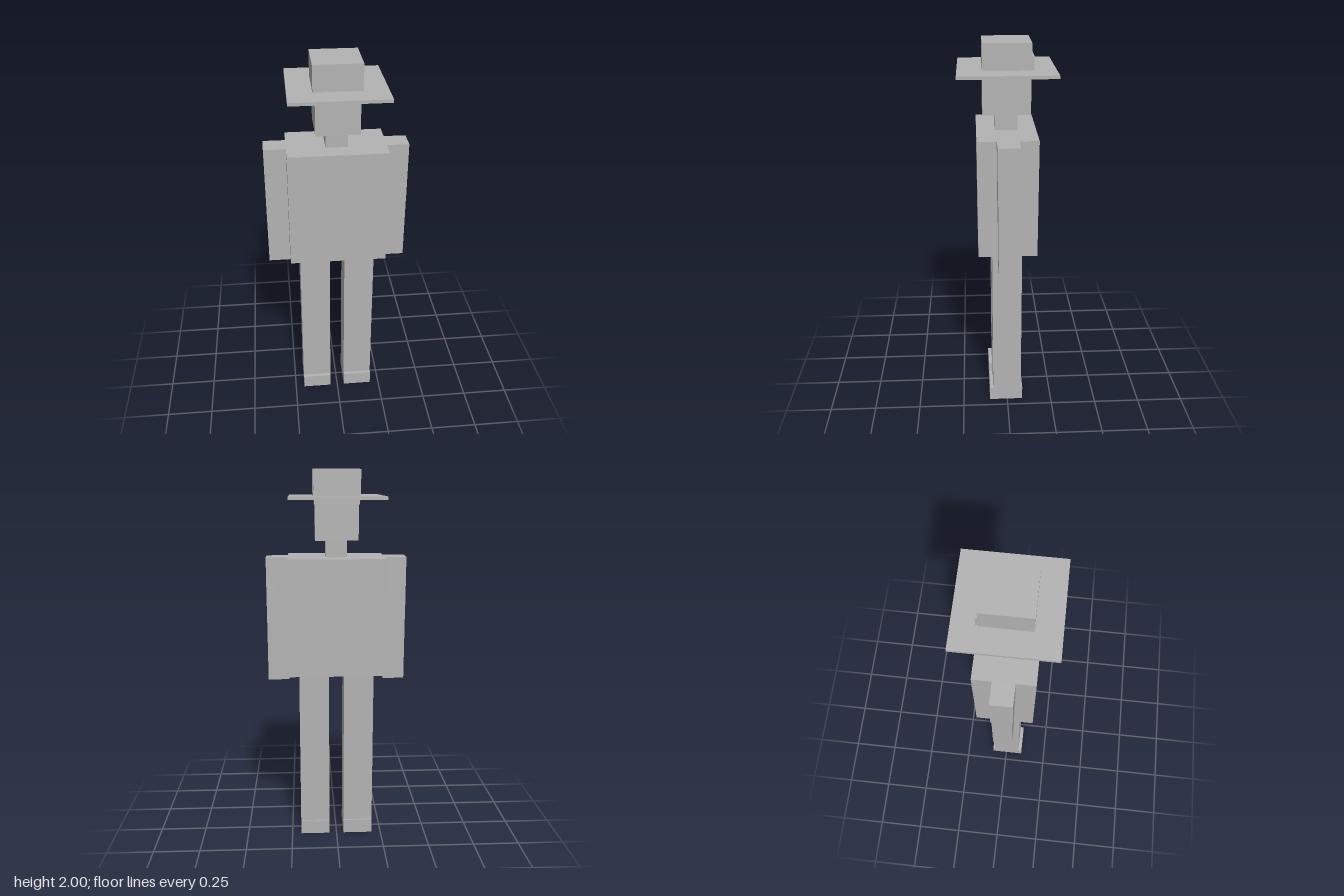
import * as THREE from 'three';

const grey = new THREE.MeshStandardMaterial({ color: 0xb3b3b3, side: THREE.DoubleSide });
grey.name = 'plain grey';

// Box given by its limits on each axis; open = no bottom face
function block(parent, name, [x0, x1], [y0, y1], [z0, z1], open = false) {
  const geo = new THREE.BoxGeometry(x1 - x0, y1 - y0, z1 - z0);
  if (open) {
    const index = Array.from(geo.index.array);
    index.splice(18, 6);
    geo.setIndex(index);
    geo.clearGroups();
  }
  const mesh = new THREE.Mesh(geo, grey);
  mesh.name = name;
  mesh.position.set((x0 + x1) / 2, (y0 + y1) / 2, (z0 + z1) / 2);
  parent.add(mesh);
  return mesh;
}

export function createModel() {
  const model = new THREE.Group();
  model.name = 'figure';

  // Trunk, neck and head
  block(model, 'torso', [-0.252, 0.252], [0.945, 1.56], [-0.152, 0.152], true);
  block(model, 'neck', [-0.056, 0.056], [1.56, 1.65], [-0.056, 0.058]);
  block(model, 'head', [-0.11, 0.11], [1.65, 1.856], [-0.12, 0.12], true);

  // Hair block that shows at the back and just below the brim
  block(model, 'hair', [-0.115, 0.115], [1.828, 1.938], [-0.133, 0.07]);

  // Hat
  block(model, 'hatBrim', [-0.242, 0.242], [1.854, 1.87], [-0.242, 0.242]);
  block(model, 'hatCrown', [-0.12, 0.12], [1.87, 2], [-0.121, 0.119]);

  // Limbs, one group for each side
  for (const [side, s] of [['left', 1], ['right', -1]]) {
    const span = (a, b) => (s > 0 ? [a, b] : [-b, -a]);

    const arm = new THREE.Group();
    arm.name = side + 'Arm';
    block(arm, 'upperArm', span(0.252, 0.365), [1.27, 1.56], [-0.055, 0.055], true);
    block(arm, 'forearm', span(0.252, 0.365), [0.905, 1.27], [-0.05, 0.052], true);

    const leg = new THREE.Group();
    leg.name = side + 'Leg';
    block(leg, 'legPost', span(0.04, 0.2), [0.078, 0.945], [-0.077, 0.08]);
    block(leg, 'shoe', span(0.04, 0.2), [0, 0.078], [-0.086, 0.1], true);

    model.add(arm, leg);
  }
  return model;
}
